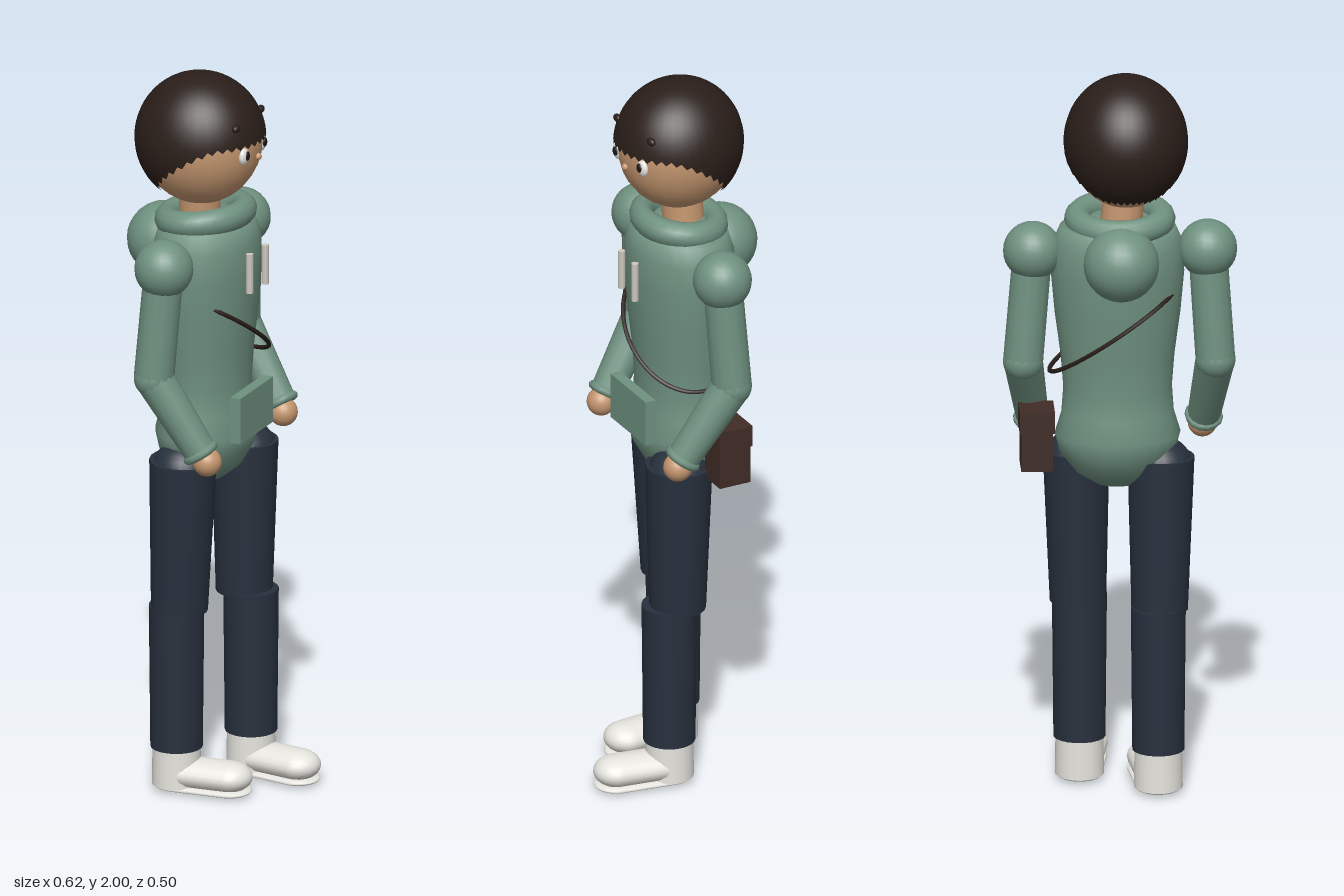
import * as THREE from 'three';

const V = (a) => new THREE.Vector3(...a);
const paint = (color, side = THREE.FrontSide) => new THREE.MeshStandardMaterial({ color, side });

export function createModel() {
  const root = new THREE.Group();
  const green = paint(0x6f9180), navy = paint(0x27303d), skin = paint(0xc4966f);
  const dark = paint(0x2a1e19, THREE.DoubleSide), white = paint(0xe6e4de), brown = paint(0x402c26);
  const cord = paint(0xcfc8c0), black = paint(0x181818);
  const YAW = 0.18; // the upper body turns slightly to its left

  const add = (name, geo, mat, pos = [0, 0, 0], scale = [1, 1, 1], parent = root) => {
    const m = new THREE.Mesh(geo, mat);
    m.name = name;
    m.position.set(...pos);
    m.scale.set(...scale);
    parent.add(m);
    return m;
  };
  const ball = (name, mat, pos, r, parent) =>
    add(name, new THREE.SphereGeometry(1, 24, 16), mat, pos, Array.isArray(r) ? r : [r, r, r], parent);
  // tapered cylinder from p to q
  const limb = (name, mat, p, q, r1, r2, sides = 14) => {
    const a = V(p), b = V(q), d = b.clone().sub(a);
    const m = add(name, new THREE.CylinderGeometry(r2, r1, d.length(), sides), mat,
      a.clone().add(b).multiplyScalar(0.5).toArray());
    m.quaternion.setFromUnitVectors(V([0, 1, 0]), d.normalize());
    return m;
  };

  // Torso: oval lathe, tapered at the waist and rounded under the hips
  const profile = [[0, 0.855], [0.06, 0.86], [0.115, 0.895], [0.155, 0.95], [0.168, 1.0], [0.15, 1.06],
    [0.145, 1.13], [0.152, 1.22], [0.168, 1.34], [0.178, 1.45], [0.176, 1.53], [0.155, 1.58], [0.08, 1.605], [0, 1.61]];
  const torso = add('torso', new THREE.LatheGeometry(profile.map((p) => new THREE.Vector2(...p)), 28),
    green, [0.008, 0, -0.027], [1, 1, 0.78]);
  torso.rotation.y = YAW;

  // Collar and folded hood
  const collar = add('collar', new THREE.TorusGeometry(0.113, 0.036, 12, 32), green, [0.002, 1.6, -0.027], [1, 0.88, 1]);
  collar.rotation.set(Math.PI / 2 - 0.12, 0, 0);
  ball('hood', green, [-0.018, 1.51, -0.148], 0.101);

  // Drawstrings
  for (const [x, z] of [[-0.012, 0.128], [0.072, 0.118]])
    add('drawstring', new THREE.CylinderGeometry(0.01, 0.01, 0.11, 8), cord, [x, 1.465, z]);

  // Front pocket
  add('pocket', new THREE.BoxGeometry(0.2, 0.128, 0.03), green, [0.024, 1.065, 0.108]).rotation.y = YAW;

  // Neck and head
  limb('neck', skin, [0, 1.54, -0.045], [-0.012, 1.7, -0.036], 0.058, 0.055);
  const head = new THREE.Group();
  head.name = 'head';
  head.position.set(-0.015, 1.818, -0.032);
  head.rotation.y = 0.24;
  root.add(head);
  ball('face', skin, [0, 0, 0], [0.158, 0.179, 0.168], head);
  ball('nose', skin, [0, -0.032, 0.166], 0.01, head);
  for (const s of [-1, 1]) {
    ball('eye', white, [s * 0.062, -0.014, 0.15], [0.021, 0.024, 0.012], head);
    ball('pupil', black, [s * 0.061, -0.012, 0.16], [0.011, 0.013, 0.006], head);
    ball('brow', dark, [s * 0.085, 0.07, 0.138], [0.016, 0.011, 0.01], head);
  }
  // Hair: dome whose lower edge is level in front and sweeps down to the nape
  const hair = new THREE.SphereGeometry(1, 40, 24);
  const pos = hair.attributes.position, uv = hair.attributes.uv;
  for (let i = 0; i < pos.count; i++) {
    const phi = uv.getX(i) * Math.PI * 2;
    const fromFront = Math.acos(THREE.MathUtils.clamp(Math.sin(phi), -1, 1)) * 180 / Math.PI;
    const edge = 0.05 - 0.85 * THREE.MathUtils.smoothstep(fromFront, 50, 150);
    const row = Math.floor(i / 41) / 24;
    const t = row * Math.acos(edge);
    pos.setXYZ(i, -Math.cos(phi) * Math.sin(t), Math.cos(t), Math.sin(phi) * Math.sin(t));
    hair.attributes.normal.setXYZ(i, pos.getX(i), pos.getY(i), pos.getZ(i));
  }
  add('hair', hair, dark, [0, 0, 0], [0.166, 0.182, 0.178], head);

  // Arms: shoulder, elbow, wrist, hand
  const arms = [
    ['left', [0.23, 1.515, -0.076], [0.253, 1.21, -0.095], [0.246, 1.01, 0.04], [0.243, 0.985, 0.053]],
    ['right', [-0.23, 1.515, 0.004], [-0.253, 1.21, -0.012], [-0.206, 1.01, 0.108], [-0.2, 0.985, 0.125]],
  ];
  for (const [side, shoulder, elbow, wrist, hand] of arms) {
    ball(side + 'Shoulder', green, shoulder, 0.079);
    limb(side + 'UpperArm', green, shoulder, elbow, 0.053, 0.054);
    ball(side + 'Elbow', green, elbow, 0.054);
    limb(side + 'Forearm', green, elbow, wrist, 0.053, 0.044);
    const cuff = add(side + 'Cuff', new THREE.TorusGeometry(0.04, 0.012, 8, 14), green, wrist);
    cuff.quaternion.setFromUnitVectors(V([0, 0, 1]), V(wrist).sub(V(elbow)).normalize());
    ball(side + 'Hand', skin, hand, 0.039);
  }

  // Legs and shoes: hip, knee top and bottom, ankle, foot turn, toe reach
  const legs = [
    ['left', [0.125, 0.935, 0.012], [0.12, 0.51, 0.014], [0.119, 0.52, 0.037], [0.119, 0.12, 0.037], 0.04, 0.15],
    ['right', [-0.108, 0.935, -0.022], [-0.106, 0.51, -0.035], [-0.104, 0.52, -0.046], [-0.104, 0.12, -0.046], 0.28, 0.15],
  ];
  for (const [side, hip, knee, shinTop, ankle, turn, reach] of legs) {
    ball(side + 'Hip', navy, [hip[0], 0.9, hip[2]], 0.087);
    limb(side + 'Thigh', navy, knee, hip, 0.076, 0.09, 20);
    limb(side + 'Shin', navy, ankle, shinTop, 0.07, 0.074, 20);
    const shoe = new THREE.Group();
    shoe.name = side + 'Shoe';
    shoe.position.set(ankle[0], 0, ankle[2]);
    shoe.rotation.y = turn;
    root.add(shoe);
    add('ankle', new THREE.CylinderGeometry(0.064, 0.066, 0.12, 20), white, [0, 0.075, 0], [1, 1, 1], shoe);
    for (const [name, y, r, h] of [['foot', 0.05, 0.062, 0.66], ['sole', 0.012, 0.06, 0.2]]) {
      const foot = add(name, new THREE.CapsuleGeometry(r, reach, 10, 20), white, [0, y, reach / 2], [1, 1, h], shoe);
      foot.rotation.x = Math.PI / 2;
    }
  }

  // Shoulder strap: slanted oval loop around the body
  const loop = [];
  for (let i = 0; i < 24; i++) {
    const a = i / 24 * Math.PI * 2, x = 0.02 + 0.17 * Math.cos(a);
    loop.push(new THREE.Vector3(x, 1.305 - 0.7 * x, -0.029 + 0.154 * Math.sin(a)));
  }
  add('strap', new THREE.TubeGeometry(new THREE.CatmullRomCurve3(loop, true), 72, 0.006, 6, true), dark);

  // Side bag with flap
  const bag = new THREE.Group();
  bag.name = 'bag';
  bag.position.set(0.217, 0.997, -0.095);
  bag.rotation.y = YAW;
  root.add(bag);
  add('bagBody', new THREE.BoxGeometry(0.085, 0.165, 0.092), brown, [0, 0, 0], [1, 1, 1], bag);
  add('bagFlap', new THREE.BoxGeometry(0.094, 0.06, 0.1), brown, [0, 0.055, 0], [1, 1, 1], bag);

  return root;
}
